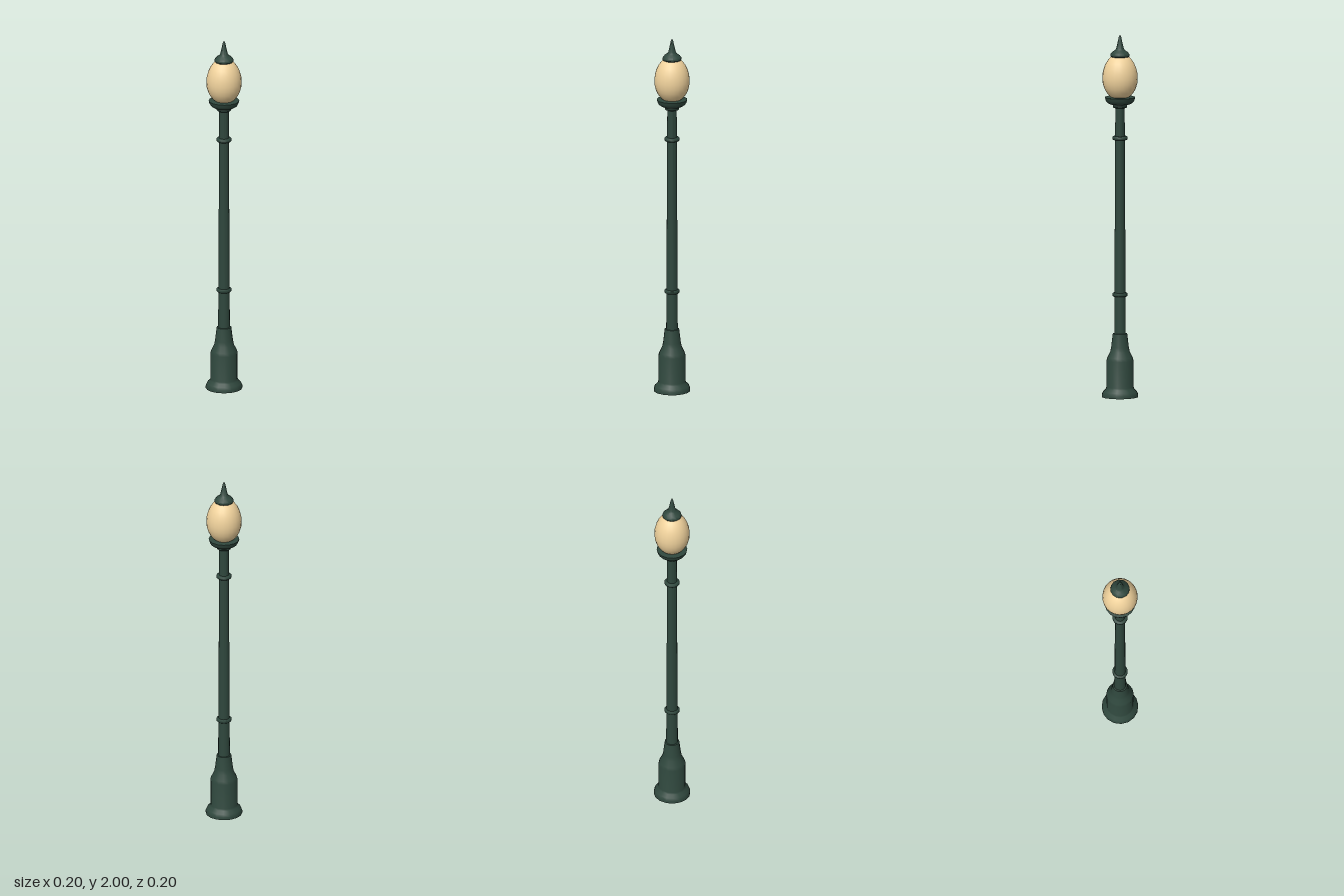
import * as THREE from 'three';
import { toCreasedNormals } from 'three/addons/utils/BufferGeometryUtils.js';

const metal = new THREE.MeshStandardMaterial({ color: 0x2f473d });
const glass = new THREE.MeshStandardMaterial({ color: 0xf0d29c });

// Turned part from [radius, height] pairs, listed bottom to top
function turned(name, profile, sides, material = metal, crease = 0.6) {
  const points = profile.map(([r, y]) => new THREE.Vector2(r, y));
  const mesh = new THREE.Mesh(toCreasedNormals(new THREE.LatheGeometry(points, sides), crease), material);
  mesh.name = name;
  return mesh;
}

export function createModel() {
  const lamp = new THREE.Group();
  lamp.name = 'streetLamp';

  // Flared foot and stepped pedestal
  lamp.add(turned('base', [
    [0, 0], [0.1, 0], [0.1, 0.015], [0.094, 0.03], [0.079, 0.045], [0.075, 0.055],
    [0.075, 0.2], [0.07, 0.218], [0.054, 0.25], [0.049, 0.275], [0.04, 0.35], [0, 0.353],
  ], 16));

  // Slightly tapering shaft
  lamp.add(turned('pole', [[0.032, 0.34], [0.026, 1.61]], 16));

  // Rounded collars around the shaft
  for (const [name, y] of [['lowerCollar', 0.565], ['upperCollar', 1.43]]) {
    lamp.add(turned(name, [
      [0.025, y - 0.01], [0.037, y - 0.01], [0.042, y - 0.005],
      [0.042, y + 0.005], [0.037, y + 0.01], [0.025, y + 0.01],
    ], 16, metal, 0.9));
  }

  // Neck ring and shallow cup that hold the globe
  lamp.add(turned('globeHolder', [
    [0.02, 1.597], [0.036, 1.597], [0.04, 1.602], [0.04, 1.61], [0.036, 1.615],
    [0.058, 1.618], [0.073, 1.628], [0.08, 1.64], [0.084, 1.655], [0.076, 1.657], [0, 1.657],
  ], 16));

  // Egg-shaped glass globe, fuller below the middle
  const globe = [];
  const steps = 14;
  for (let i = 0; i <= steps; i++) {
    const a = -Math.PI / 2 + (Math.PI * i) / steps;
    const half = a < 0 ? 0.122 : 0.137;
    globe.push([0.097 * Math.cos(a), 1.76 + half * Math.sin(a)]);
  }
  lamp.add(turned('globe', globe, 24, glass, 1));

  // Cap with a pointed finial
  lamp.add(turned('cap', [
    [0, 1.877], [0.048, 1.877], [0.053, 1.883], [0.052, 1.893], [0.042, 1.905],
    [0.026, 1.916], [0.02, 1.927], [0.013, 1.958], [0.006, 1.99], [0, 2],
  ], 12));

  return lamp;
}
